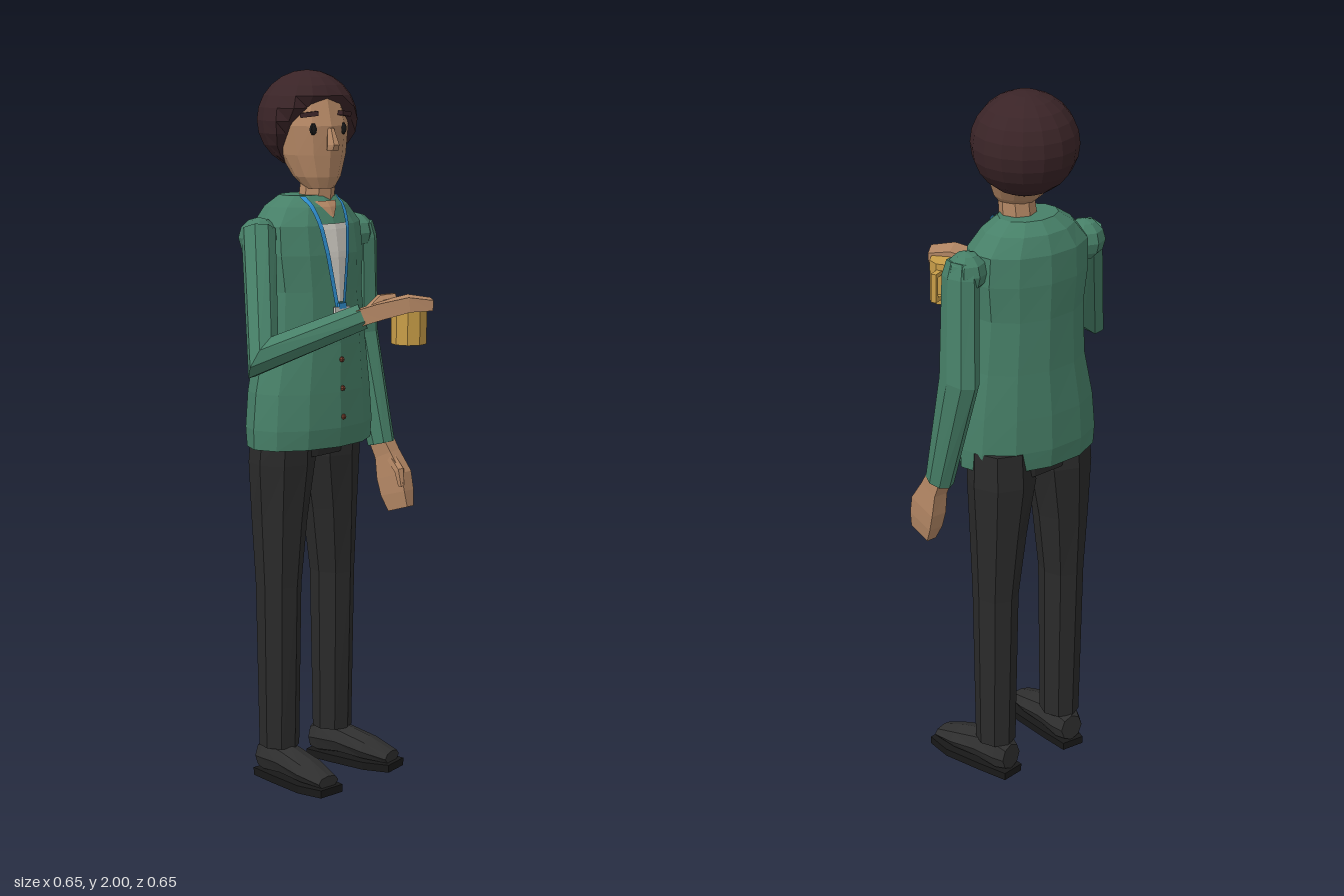
import * as THREE from 'three';

const mat = (name, color, side = THREE.FrontSide) => {
  const m = new THREE.MeshStandardMaterial({ color, side });
  m.name = name;
  return m;
};
const V = (a) => new THREE.Vector3(a[0], a[1], a[2]);

// Faceted normals
function flat(geo) {
  const g = geo.index ? geo.toNonIndexed() : geo;
  g.computeVertexNormals();
  return g;
}

// Capped loft through [x, y, z, ru, rv] sections; a fixed axis keeps sections parallel
function loft(pts, n, ref, axis) {
  const P = pts.map(V), pos = [], idx = [];
  const k = n === 4 ? Math.SQRT2 : 1, phase = n === 4 ? Math.PI / 4 : 0;
  P.forEach((p, i) => {
    const t = new THREE.Vector3();
    if (axis) t.copy(V(axis));
    else {
      if (i > 0) t.add(p.clone().sub(P[i - 1]).normalize());
      if (i < P.length - 1) t.add(P[i + 1].clone().sub(p).normalize());
      t.normalize();
    }
    const u = V(ref).cross(t).normalize(), v = t.clone().cross(u);
    for (let j = 0; j < n; j++) {
      const a = phase + (j / n) * Math.PI * 2;
      const q = p.clone().addScaledVector(u, Math.cos(a) * pts[i][3] * k).addScaledVector(v, Math.sin(a) * pts[i][4] * k);
      pos.push(q.x, q.y, q.z);
    }
  });
  const last = (P.length - 1) * n, c0 = P.length * n, c1 = c0 + 1;
  pos.push(...P[0].toArray(), ...P[P.length - 1].toArray());
  for (let j = 0; j < n; j++) {
    const h = (j + 1) % n;
    for (let r = 0; r < last; r += n) idx.push(r + j, r + h, r + n + h, r + j, r + n + h, r + n + j);
    idx.push(c0, h, j, c1, last + j, last + h);
  }
  const g = new THREE.BufferGeometry();
  g.setAttribute('position', new THREE.Float32BufferAttribute(pos, 3));
  g.setIndex(idx);
  return flat(g);
}

// Torso sections, local to the torso group: x, y, z, half width, half depth
const TORSO = [
  [-0.01, 0.965, 0.01, 0.205, 0.125], [-0.01, 1.02, 0.01, 0.207, 0.132], [-0.008, 1.12, 0.008, 0.198, 0.13],
  [0, 1.25, 0.005, 0.175, 0.125], [0, 1.4, 0, 0.165, 0.122], [0, 1.5, -0.005, 0.176, 0.122],
  [0, 1.58, -0.01, 0.172, 0.115], [0, 1.63, -0.012, 0.13, 0.095], [0, 1.66, -0.01, 0.085, 0.065],
];

// Depth of the faceted torso front at (x, y)
function torsoFront(x, y) {
  let i = 0;
  while (i < TORSO.length - 2 && y > TORSO[i + 1][1]) i++;
  const a = TORSO[i], b = TORSO[i + 1], f = Math.min(1, (y - a[1]) / (b[1] - a[1]));
  const [cx, , cz, rx, rz] = a.map((v, j) => v + (b[j] - v) * f);
  const s = Math.abs(x - cx) / rx;
  const d = s < 0.5 ? 1 - 0.268 * s : 0.866 - (s - 0.5);
  return cz + rz * d;
}

// Thin panel lying on the torso front, between two horizontal edges
function panel(y0, l0, r0, y1, l1, r1, lift) {
  const g = new THREE.PlaneGeometry(1, 1, 4, 14), p = g.attributes.position;
  for (let i = 0; i < p.count; i++) {
    const u = p.getX(i) + 0.5, w = 0.5 - p.getY(i);
    const y = y0 + (y1 - y0) * w;
    const x = (l0 + (l1 - l0) * w) * (1 - u) + (r0 + (r1 - r0) * w) * u;
    p.setXYZ(i, x, y, torsoFront(x, y) + lift);
  }
  return flat(g);
}

export function createModel() {
  const green = mat('green cardigan', 0x478068), skin = mat('skin', 0xb58865), hairMat = mat('dark brown hair', 0x3a2427);
  const black = mat('black trousers', 0x2a2a2a), shoeMat = mat('shoe grey', 0x2f2f2f), soleMat = mat('sole black', 0x181818);
  const gold = mat('mustard', 0xc99e48), blue = mat('lanyard blue', 0x2f8fd0, THREE.DoubleSide);
  const white = mat('off white', 0xd2cec6, THREE.DoubleSide), red = mat('button brown', 0x75402f);

  const model = new THREE.Group();
  model.name = 'person';
  const add = (parent, name, geo, m, pos) => {
    const o = new THREE.Mesh(geo, m);
    o.name = name;
    if (pos) o.position.set(...pos);
    parent.add(o);
    return o;
  };
  const group = (name, x, y, z, yaw) => {
    const g = new THREE.Group();
    g.name = name;
    g.position.set(x, y, z);
    g.rotation.y = yaw;
    model.add(g);
    return g;
  };
  const UP = [0, 1, 0], X = [1, 0, 0], Z = [0, 0, 1];
  const ball = (r, w = 8, h = 6) => flat(new THREE.SphereGeometry(r, w, h));

  // Legs and shoes
  for (const s of [-1, 1]) {
    const side = s < 0 ? 'right' : 'left', x = (d) => 0.033 + s * d;
    add(model, side + 'Leg', loft([
      [x(0.12), 0.1, -0.168, 0.055, 0.058], [x(0.12), 0.57, -0.168, 0.06, 0.068],
      [x(0.112), 0.76, -0.17, 0.076, 0.081], [x(0.1), 0.92, -0.17, 0.096, 0.092], [x(0.1), 1.02, -0.165, 0.09, 0.09],
    ], 8, Z, UP), black);
    const foot = group(side + 'Shoe', x(0.122), 0, -0.17, s * 0.12);
    add(foot, 'upper', loft([
      [0, 0.06, -0.06, 0.035, 0.04], [0, 0.065, -0.03, 0.048, 0.052], [0, 0.065, 0.04, 0.05, 0.045],
      [0, 0.05, 0.13, 0.052, 0.034], [0, 0.035, 0.205, 0.038, 0.018],
    ], 8, UP, Z), shoeMat);
    add(foot, 'sole', loft([
      [0, 0.011, -0.068, 0.034, 0.011], [0, 0.011, 0.02, 0.046, 0.011], [0, 0.011, 0.14, 0.058, 0.011], [0, 0.011, 0.218, 0.042, 0.011],
    ], 4, UP, Z), soleMat);
  }
  add(model, 'hips', loft([[0.033, 0.935, -0.165, 0.15, 0.085], [0.033, 1.05, -0.16, 0.18, 0.1]], 10, Z, UP), black);

  // Torso with shirt, lanyard, badge and buttons
  const torso = group('torso', 0.04, 0, -0.158, -0.15);
  add(torso, 'cardigan', loft(TORSO, 12, Z, UP), green);
  add(torso, 'shirtFront', panel(1.585, -0.05, 0.05, 1.37, -0.016, 0.016, 0.004), white);
  add(torso, 'neckline', panel(1.645, -0.04, 0.04, 1.6, -0.002, 0.002, 0.004), skin);
  for (const s of [-1, 1]) {
    add(torso, 'lanyardStrap', panel(1.658, s * 0.062 - 0.007, s * 0.062 + 0.007, 1.355, s * 0.012 - 0.006, s * 0.012 + 0.006, 0.008), blue);
  }
  add(torso, 'badge', flat(new THREE.BoxGeometry(0.055, 0.085, 0.008)), white, [0, 1.315, torsoFront(0, 1.315) + 0.008]);
  add(torso, 'badgeClip', flat(new THREE.BoxGeometry(0.026, 0.016, 0.008)), blue, [0, 1.36, torsoFront(0, 1.36) + 0.011]);
  add(torso, 'badgePicture', flat(new THREE.BoxGeometry(0.02, 0.03, 0.004)), shoeMat, [0, 1.313, torsoFront(0, 1.315) + 0.011]);
  for (const y of [1.05, 1.13, 1.21]) add(torso, 'button', ball(0.008, 6, 4), red, [0, y, torsoFront(0, y) + 0.002]);

  // Right arm, bent; its reference is the normal of the bend
  const S = [-0.145, 1.57, -0.185], E = [-0.28, 1.25, -0.055], W = [-0.11, 1.358, 0.15];
  const bend = V(E).sub(V(S)).cross(V(W).sub(V(E))).normalize().toArray();
  add(model, 'rightShoulder', ball(0.056), green, [-0.138, 1.55, -0.19]);
  add(model, 'rightSleeve', loft([[...S, 0.048, 0.046], [...E, 0.072, 0.047], [...W, 0.038, 0.035]], 8, bend), green);
  add(model, 'rightHand', loft([
    [-0.115, 1.355, 0.145, 0.026, 0.022], [-0.088, 1.375, 0.195, 0.036, 0.022], [-0.045, 1.395, 0.255, 0.038, 0.02], [-0.003, 1.392, 0.3, 0.033, 0.014],
  ], 4, UP), skin);
  add(model, 'rightThumb', loft([
    [-0.095, 1.37, 0.16, 0.016, 0.016], [-0.06, 1.4, 0.172, 0.016, 0.016], [-0.025, 1.405, 0.193, 0.012, 0.012],
  ], 6, UP), skin);

  // Left arm, hanging
  add(model, 'leftShoulder', ball(0.056), green, [0.235, 1.54, -0.15]);
  add(model, 'leftSleeve', loft([
    [0.245, 1.57, -0.145, 0.045, 0.036], [0.252, 1.53, -0.147, 0.056, 0.043], [0.273, 1.25, -0.165, 0.064, 0.044], [0.28, 0.93, -0.087, 0.042, 0.036],
  ], 8, X), green);
  add(model, 'leftHand', loft([
    [0.28, 0.95, -0.092, 0.026, 0.024], [0.284, 0.9, -0.068, 0.03, 0.022], [0.286, 0.84, -0.045, 0.046, 0.024],
    [0.285, 0.79, -0.032, 0.044, 0.022], [0.284, 0.745, -0.018, 0.036, 0.015],
  ], 4, X), skin);
  add(model, 'leftThumb', loft([
    [0.278, 0.9, -0.055, 0.016, 0.016], [0.268, 0.86, -0.012, 0.016, 0.015], [0.266, 0.815, -0.002, 0.01, 0.01],
  ], 6, X), skin);

  // Mug
  const mug = group('mug', -0.003, 1.34, 0.224, 0.4);
  add(mug, 'cup', flat(new THREE.CylinderGeometry(0.049, 0.049, 0.12, 9)), gold);
  add(mug, 'handleGrip', flat(new THREE.BoxGeometry(0.012, 0.084, 0.016)), gold, [0.074, 0, 0]);
  for (const y of [-0.036, 0.036]) add(mug, 'handleBar', flat(new THREE.BoxGeometry(0.034, 0.012, 0.016)), gold, [0.058, y, 0]);

  // Neck and head
  add(model, 'neck', loft([[0.05, 1.6, -0.145, 0.052, 0.052], [0.06, 1.76, -0.135, 0.046, 0.046]], 8, Z, UP), skin);
  const head = group('head', 0.07, 0, -0.188, -0.36);
  add(head, 'face', loft([
    [0, 1.678, 0.068, 0.04, 0.04], [0, 1.71, 0.052, 0.066, 0.068], [0, 1.77, 0.03, 0.09, 0.096],
    [0, 1.85, 0.016, 0.102, 0.116], [0, 1.93, 0, 0.09, 0.108],
  ], 12, Z, UP), skin);
  const hair = new THREE.SphereGeometry(0.141, 16, 12), hp = hair.attributes.position;
  for (let i = 0; i < hp.count; i++) { // sloped hairline
    hp.setZ(i, Math.min(hp.getZ(i), 0.072 + 0.6 * hp.getY(i)));
    hp.setY(i, hp.getY(i) * 0.97);
  }
  add(head, 'hair', flat(hair), hairMat, [0, 1.863, 0]);
  add(head, 'nose', loft([[0, 1.785, 0.137, 0.017, 0.02], [0, 1.8, 0.14, 0.017, 0.024], [0, 1.845, 0.127, 0.009, 0.012]], 6, Z, UP), skin);
  for (const s of [-1, 1]) {
    const eye = add(head, 'eye', ball(0.014), soleMat, [s * 0.047, 1.842, 0.114]);
    eye.scale.set(0.85, 1.2, 0.6);
    const brow = add(head, 'eyebrow', flat(new THREE.BoxGeometry(0.05, 0.013, 0.016)), hairMat, [s * 0.056, 1.882, 0.108]);
    brow.rotation.set(0, s * 0.55, s * -0.12);
  }
  return model;
}
